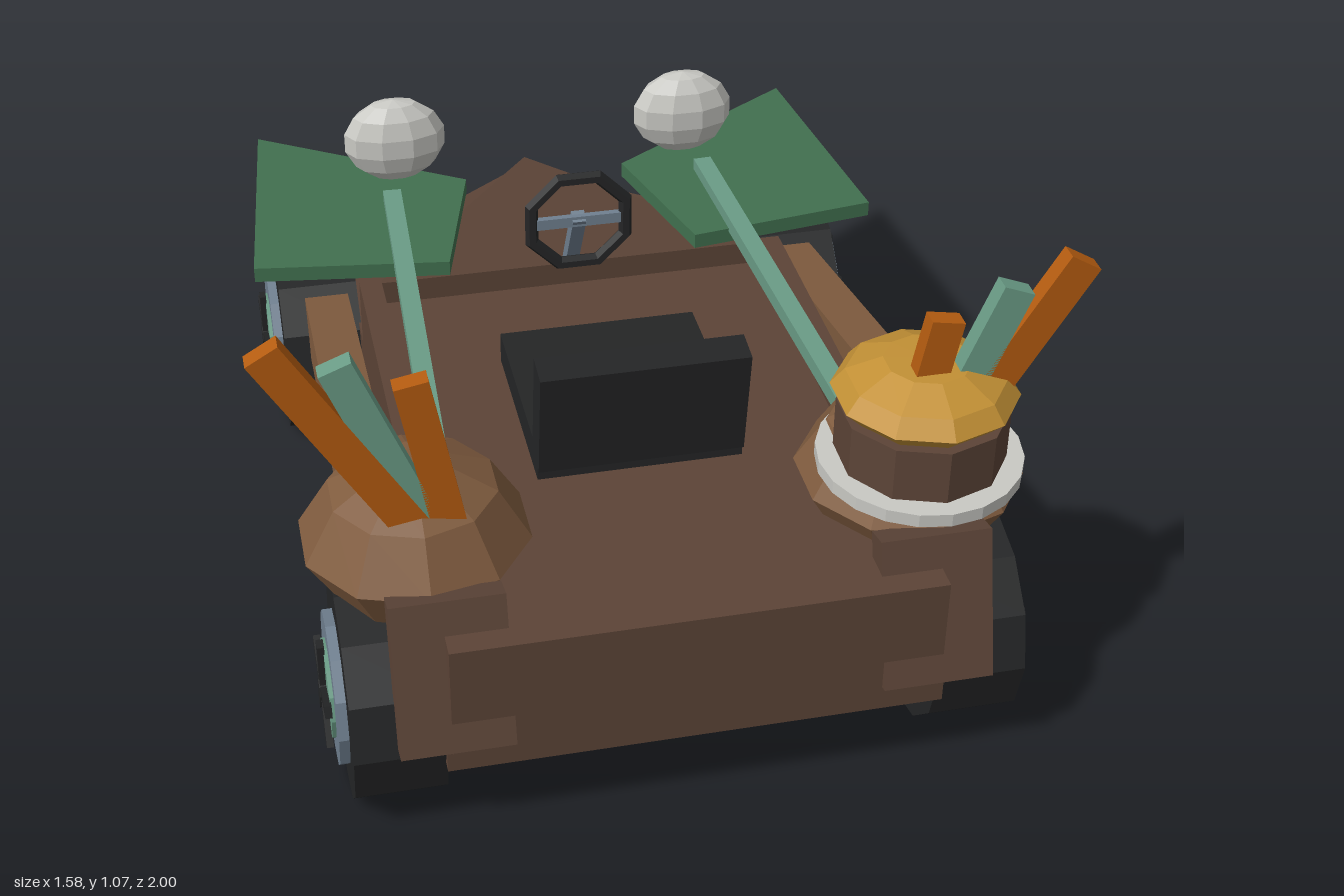
import * as THREE from 'three';
import { ConvexGeometry } from 'three/addons/geometries/ConvexGeometry.js';

const mat = (name, color) => {
  const m = new THREE.MeshStandardMaterial({ color, flatShading: true });
  m.name = name;
  return m;
};

export function createModel() {
  const kart = new THREE.Group();
  kart.name = 'kart';
  const wood = mat('darkWood', 0x5c4437);
  const clay = mat('clay', 0x805c3f);
  const leaf = mat('leafGreen', 0x41704f);
  const teal = mat('paleTeal', 0x6a9c86);
  const orange = mat('orange', 0xb55c10);
  const gold = mat('gold', 0xc29035);
  const white = mat('offWhite', 0xc8c8c3);
  const black = mat('black', 0x242526);
  const slate = mat('slate', 0x708090);

  const add = (name, geo, m, pos = [0, 0, 0], rot = [0, 0, 0], parent = kart) => {
    const mesh = new THREE.Mesh(geo, m);
    mesh.name = name;
    mesh.position.set(...pos);
    mesh.rotation.set(...rot);
    parent.add(mesh);
    return mesh;
  };
  const box = (w, h, d) => new THREE.BoxGeometry(w, h, d);
  const convex = (pts) => new ConvexGeometry(pts.map((p) => new THREE.Vector3(...p)));
  const lathe = (pts, n) => new THREE.LatheGeometry(pts.map((p) => new THREE.Vector2(...p)), n);
  // bar of w x h section between two points
  const bar = (name, a, b, w, h, m) => {
    const A = new THREE.Vector3(...a), B = new THREE.Vector3(...b);
    const mid = A.clone().add(B).multiplyScalar(0.5);
    const mesh = add(name, box(w, h, A.distanceTo(B)), m, mid.toArray());
    mesh.lookAt(B);
    return mesh;
  };

  // pointed lower hull
  const outline = [[0, -1], [0.49, -0.64], [-0.49, -0.64], [0.49, 0.97], [-0.49, 0.97]];
  add('hull', convex(outline.flatMap(([x, z]) => [[x, 0.19, z], [x, 0.35, z]])), wood);

  // wedge-shaped nose cowl, cockpit floor and rear deck
  add('noseCowl', convex([
    [0, 0.34, -0.92], [0.49, 0.34, -0.28], [-0.49, 0.34, -0.28],
    [0, 0.435, -0.9], [0.45, 0.5, -0.28], [-0.45, 0.5, -0.28],
  ]), wood);
  add('cockpitFloor', box(0.94, 0.14, 0.96), wood, [0, 0.375, 0.19]);
  add('rearDeck', box(0.96, 0.25, 0.32), wood, [0, 0.365, 0.82]);

  // seat with inset back
  add('seatBase', box(0.43, 0.1, 0.44), black, [0, 0.465, 0.22]);
  const back = new THREE.Group();
  back.name = 'seatBack';
  back.position.set(0, 0.6, 0.435);
  back.rotation.x = 0.14;
  kart.add(back);
  add('backrest', box(0.43, 0.25, 0.07), black, [0, 0, 0], [0, 0, 0], back);
  add('backPad', box(0.33, 0.15, 0.02), wood, [0, 0, -0.04], [0, 0, 0], back);

  // steering
  add('steeringWheel', new THREE.TorusGeometry(0.115, 0.016, 6, 8), black, [0, 0.66, -0.2], [0, 0, Math.PI / 8]);
  bar('steeringColumn', [0, 0.67, -0.2], [0, 0.46, -0.32], 0.03, 0.03, slate);
  add('steeringSpoke', box(0.22, 0.025, 0.015), slate, [0, 0.66, -0.2]);

  // five-spoked wheel, outer side towards s * x
  const wheel = (name, s, z) => {
    const g = new THREE.Group();
    g.name = name;
    g.position.set(s * 0.575, 0.225, z);
    kart.add(g);
    const disc = (n, r, d, m, x, seg) =>
      add(n, new THREE.CylinderGeometry(r, r, d, seg), m, [s * x, 0, 0], [0, 0, Math.PI / 2], g);
    disc('tyre', 0.225, 0.18, black, 0, 12);
    disc('rim', 0.155, 0.03, slate, 0.095, 12);
    disc('hubDisc', 0.1, 0.02, teal, 0.108, 12);
    disc('hubCap', 0.025, 0.02, black, 0.122, 8);
    for (let i = 0; i < 5; i++) {
      const a = (i * Math.PI * 2) / 5;
      add('spoke', box(0.014, 0.115, 0.026), black,
        [s * 0.123, Math.cos(a) * 0.057, Math.sin(a) * 0.057], [a, 0, 0], g);
    }
  };

  const pot = [[0, 0.41], [0.16, 0.42], [0.228, 0.535], [0.165, 0.64], [0.08, 0.685], [0, 0.69]];
  for (const s of [1, -1]) {
    const side = s > 0 ? 'left' : 'right';
    wheel(side + 'RearWheel', s, 0.73);
    wheel(side + 'FrontWheel', s, -0.54);

    add(side + 'CockpitWall', box(0.05, 0.17, 0.94), wood, [s * 0.465, 0.425, 0.19]);
    bar(side + 'SideBeam', [s * 0.57, 0.505, 0.5], [s * 0.555, 0.31, -0.54], 0.1, 0.13, clay);
    add(side + 'RearBracket', box(0.22, 0.31, 0.06), wood, [s * 0.47, 0.4, 0.925], [-0.28, 0, 0]);

    // leaf-like fender and the rod holding it
    const leafPts = [[0.66, -0.92], [0.19, -0.62], [0.285, -0.26], [0.72, -0.32]];
    add(side + 'Fender', convex(leafPts.flatMap(([x, z]) => [[s * x, 0.515, z], [s * x, 0.55, z]])), leaf);
    bar(side + 'Rod', [s * 0.375, 0.56, -0.56], [s * 0.425, 0.56, 0.5], 0.042, 0.035, teal);

    // eye-shaped lamps
    add(side + 'Eye', new THREE.SphereGeometry(1, 10, 7), white, [s * 0.35, 0.652, -0.67]).scale.set(0.122, 0.105, 0.065);
    add(side + 'Pupil', new THREE.SphereGeometry(1, 8, 6), black, [s * 0.35, 0.64, -0.722]).scale.set(0.052, 0.056, 0.036);

    // rear pot with upright sticks
    add(side + 'Pot', lathe(pot, 10), clay, [s * 0.495, 0, 0.66]);
    const sticks = [
      [[0.5, 0.62], [0.76, 1.055], 0.07, orange],
      [[0.48, 0.62], [0.635, 1.01], 0.065, teal],
      [[0.44, 0.62], [0.502, 0.957], 0.066, orange],
    ];
    for (const [a, b, w, m] of sticks) {
      const dx = b[0] - a[0], dy = b[1] - a[1];
      add(side + 'Stick', box(w, Math.hypot(dx, dy), 0.038), m,
        [s * (a[0] + b[0]) / 2, (a[1] + b[1]) / 2, 0.77], [0, 0, -s * Math.atan2(dx, dy)]);
    }
  }

  // capped jar on the left pot
  add('jarRing', new THREE.CylinderGeometry(0.203, 0.203, 0.028, 20), white, [0.487, 0.617, 0.735], [0.03, 0, 0]);
  add('jarNeck', new THREE.CylinderGeometry(0.168, 0.168, 0.14, 10), wood, [0.487, 0.67, 0.735]);
  add('jarLid', lathe([[0, 0.735], [0.145, 0.738], [0.182, 0.775], [0.155, 0.81], [0.085, 0.843], [0, 0.845]], 10), gold, [0.487, 0, 0.735]);

  return kart;
}
